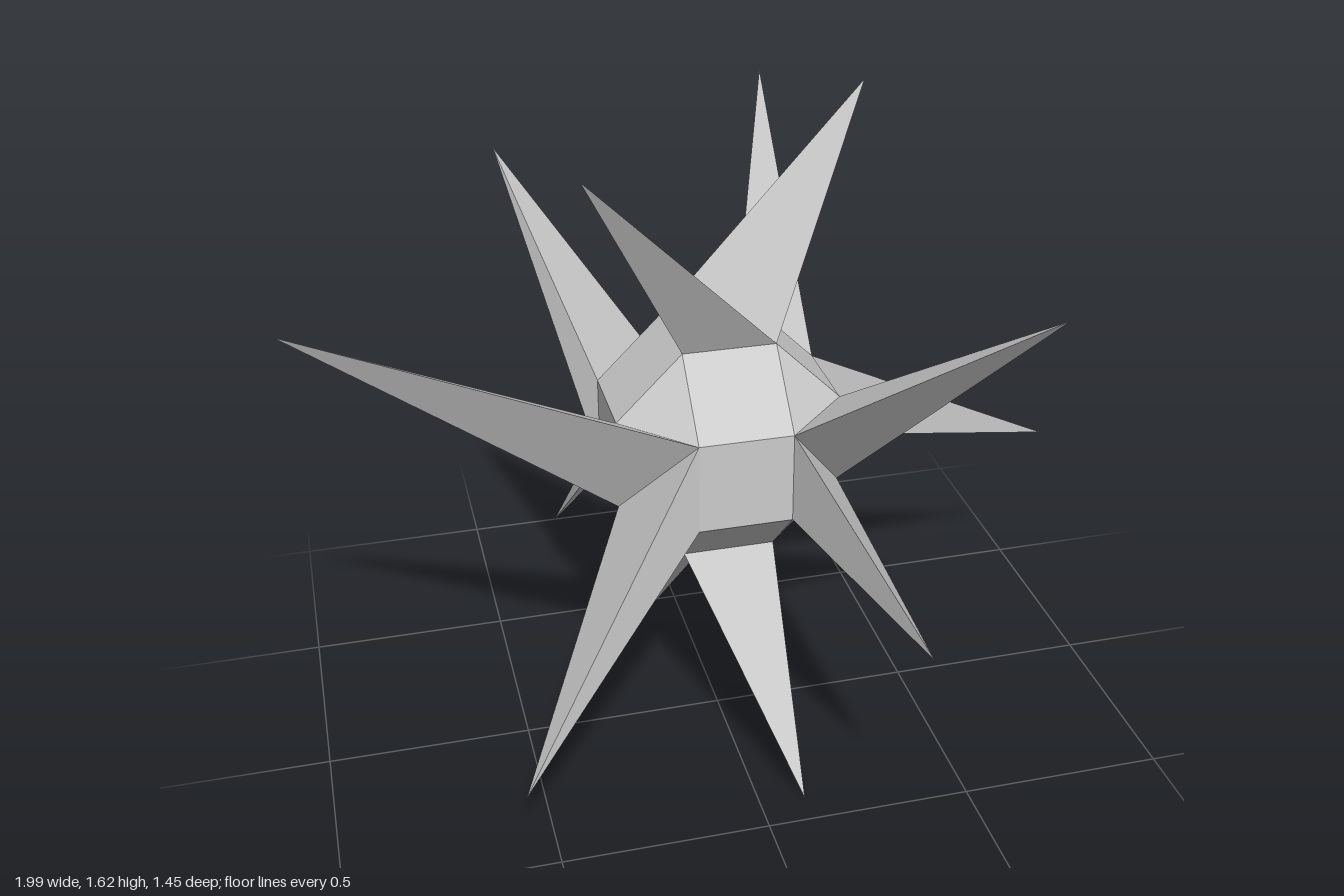
import * as THREE from 'three';
import { ConvexGeometry } from 'three/addons/geometries/ConvexGeometry.js';

const A = 0.111;      // half width of the square faces
const B = 0.268;      // half width of the whole core
const CY = 0.812;     // height of the core's centre

const P = (x, y, z) => new THREE.Vector3(x, y + CY, z);

// Three-sided spike from a base triangle to its tip, wound outward
function spikeGeometry(base, tip) {
  const [a, b, c] = base;
  const normal = b.clone().sub(a).cross(c.clone().sub(a));
  const ring = normal.dot(tip.clone().sub(a)) > 0 ? [a, b, c] : [a, c, b];
  const pts = [];
  ring.forEach((p, i) => pts.push(p, ring[(i + 1) % 3], tip));
  const geo = new THREE.BufferGeometry().setFromPoints(pts);
  geo.computeVertexNormals();
  return geo;
}

export function createModel() {
  const model = new THREE.Group();
  model.name = 'spikedStar';
  const stone = new THREE.MeshStandardMaterial({ color: 0xcccccc, flatShading: true });
  stone.name = 'paleGrey';

  const add = (name, geo) => {
    const mesh = new THREE.Mesh(geo, stone);
    mesh.name = name;
    model.add(mesh);
  };

  // Core: a cube with bevelled edges and corners (26 faces)
  const corners = [];
  for (const sx of [-1, 1]) for (const sy of [-1, 1]) for (const sz of [-1, 1]) {
    corners.push(P(sx * B, sy * A, sz * A), P(sx * A, sy * B, sz * A), P(sx * A, sy * A, sz * B));
  }
  add('core', new ConvexGeometry(corners));

  // Each spiked square is split along a diagonal, with one spike on each half
  const addPair = (name, diagonal, halves) => halves.forEach(([corner, tip], i) => {
    add(`${name}Spike${i + 1}`, spikeGeometry([...diagonal, corner], new THREE.Vector3(...tip)));
  });

  addPair('top', [P(-A, B, -A), P(A, B, A)], [
    [P(-A, B, A), [-0.375, 1.615, 0.38]],
    [P(A, B, -A), [0.375, 1.615, -A]],
  ]);
  addPair('bottom', [P(A, -B, -A), P(-A, -B, A)], [
    [P(A, -B, A), [A, 0, 0.425]],
    [P(-A, -B, -A), [-A, 0, -0.425]],
  ]);

  // Upright bevels: upper and lower tip for each side
  const sides = [
    ['frontLeft', 1, 1, [0.612, 1.287, 0.567], [0.298, 0.588, 0.723]],
    ['frontRight', -1, 1, [-1, 1.19, 0.03], [-0.567, 0.167, 0.455]],
    ['backRight', -1, -1, [-0.46, 1.458, -0.302], [-0.302, 0.167, -0.725]],
  ];
  for (const [name, sx, sz, upper, lower] of sides) {
    addPair(name, [P(sx * A, A, sz * B), P(sx * B, -A, sz * A)], [
      [P(sx * B, A, sz * A), upper],
      [P(sx * A, -A, sz * B), lower],
    ]);
  }
  // The back left bevel is split the other way
  addPair('backLeft', [P(B, A, -A), P(A, -A, -B)], [
    [P(A, A, -B), [0.298, 1.458, -0.725]],
    [P(B, -A, -A), [0.993, 0.508, -0.302]],
  ]);

  return model;
}
